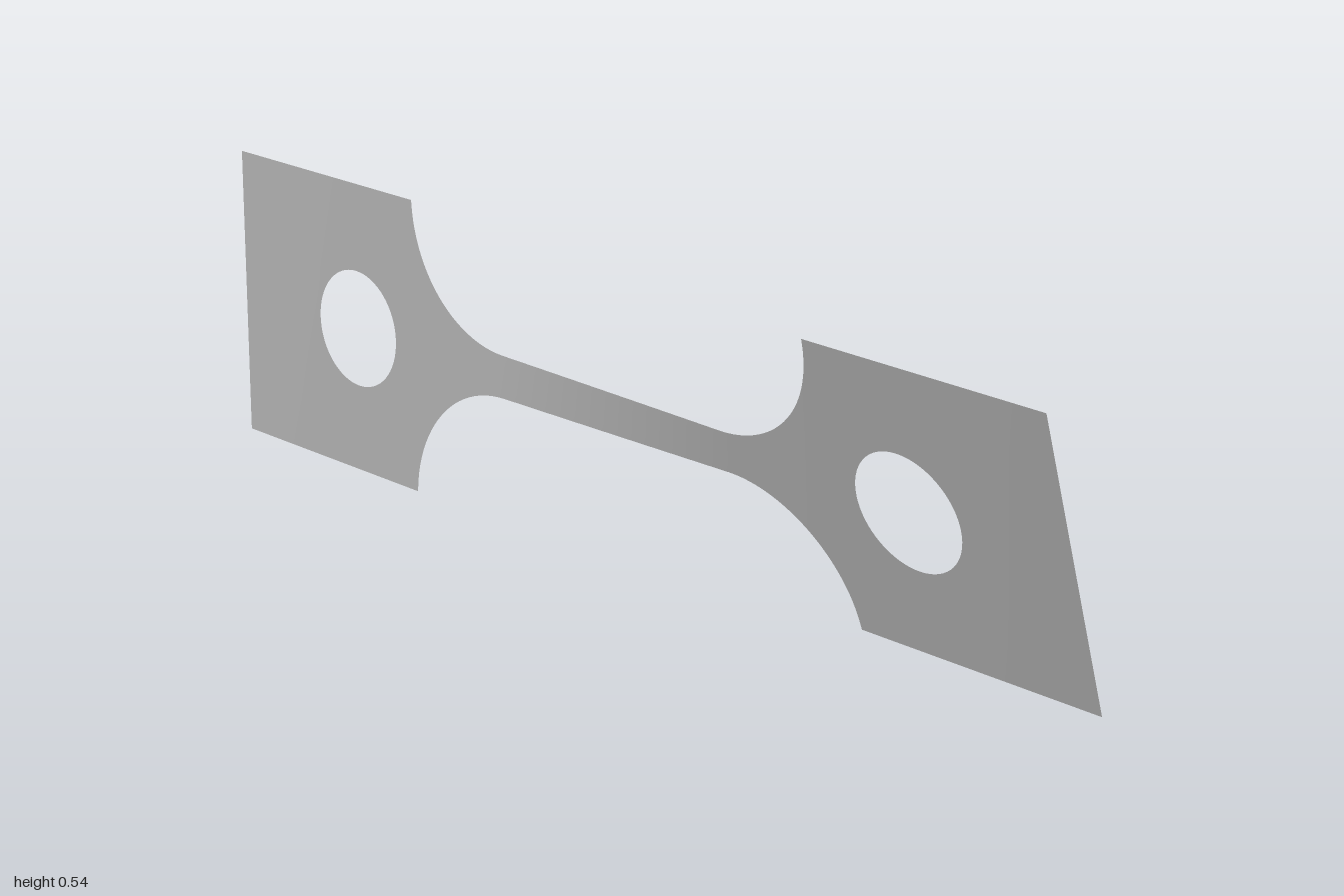
import * as THREE from 'three';

const MID = 0.272;        // height of the long axis
const HALF = 0.27;        // half height of the end plates
const NECK = 0.039;       // half height of the neck
const EDGE = 0.51;        // where plates meet the fillets
const FILLET = 0.24;
const HOLE_X = 0.67, HOLE_R = 0.108;

// Twist about the long axis in degrees: nearly all of it lies in the neck
const TWIST = [[-1, 0.1], [-0.5, 0.4], [-0.28, 1.0], [0.28, 15.6], [0.5, 16.4], [1, 17.2]];
function twist(x) {
  let i = 0;
  while (i < TWIST.length - 2 && x > TWIST[i + 1][0]) i++;
  const [x0, a0] = TWIST[i], [x1, a1] = TWIST[i + 1];
  return THREE.MathUtils.degToRad(a0 + (a1 - a0) * (x - x0) / (x1 - x0));
}

// Thin sheet between a lower and an upper edge, twisted column by column
function sheet(xs, lower, upper, rows = 6) {
  const pos = [], idx = [];
  xs.forEach((x, i) => {
    const a = twist(x);
    for (let j = 0; j <= rows; j++) {
      const h = THREE.MathUtils.lerp(lower(x), upper(x), j / rows);
      pos.push(x, MID + h * Math.cos(a), h * Math.sin(a));
      if (i && j) {
        const d = i * (rows + 1) + j, c = d - rows - 1;
        idx.push(c - 1, d - 1, d, c - 1, d, c);
      }
    }
  });
  const g = new THREE.BufferGeometry();
  g.setAttribute('position', new THREE.Float32BufferAttribute(pos, 3));
  g.setIndex(idx);
  g.computeVertexNormals();
  return g;
}

const span = (a, b, n) => Array.from({ length: n + 1 }, (_, i) => a + (b - a) * i / n);
// Columns bunched towards both ends, for round outlines
const arcSpan = (c, r, n) => span(Math.PI, 0, n).map(t => c + r * Math.cos(t));

export function createModel() {
  const group = new THREE.Group();
  const metal = new THREE.MeshStandardMaterial({ color: 0xb0b0b0, side: THREE.DoubleSide });
  metal.name = 'grey metal';
  const add = (parent, name, geo) => {
    const m = new THREE.Mesh(geo, metal);
    m.name = name;
    parent.add(m);
  };
  const top = () => HALF, bottom = () => -HALF;

  // End plates, each with a round hole
  for (const s of [-1, 1]) {
    const plate = new THREE.Group();
    plate.name = s < 0 ? 'rightEndPlate' : 'leftEndPlate';
    const c = s * HOLE_X;
    const start = s < 0 ? -1 : EDGE, end = s < 0 ? -EDGE : 1;
    const rim = x => Math.sqrt(Math.max(0, HOLE_R ** 2 - (x - c) ** 2));
    add(plate, 'plateInnerSide', sheet(span(start, c - HOLE_R, 6), bottom, top));
    add(plate, 'plateAboveHole', sheet(arcSpan(c, HOLE_R, 32), rim, top));
    add(plate, 'plateBelowHole', sheet(arcSpan(c, HOLE_R, 32), bottom, x => -rim(x)));
    add(plate, 'plateOuterSide', sheet(span(c + HOLE_R, end, 6), bottom, top));
    group.add(plate);
  }

  // Slim neck flaring into the plates through round fillets
  const flare = EDGE - FILLET;
  const outline = x => {
    const d = Math.min(FILLET, Math.max(0, Math.abs(x) - flare));
    return Math.min(HALF, NECK + FILLET - Math.sqrt(FILLET ** 2 - d * d));
  };
  const curve = span(0, Math.PI / 2, 24).map(t => flare + FILLET * Math.sin(t));
  const xs = [...curve.map(x => -x).reverse(), ...span(-flare, flare, 32).slice(1, -1), ...curve];
  add(group, 'twistedNeck', sheet(xs, x => -outline(x), outline));

  return group;
}
